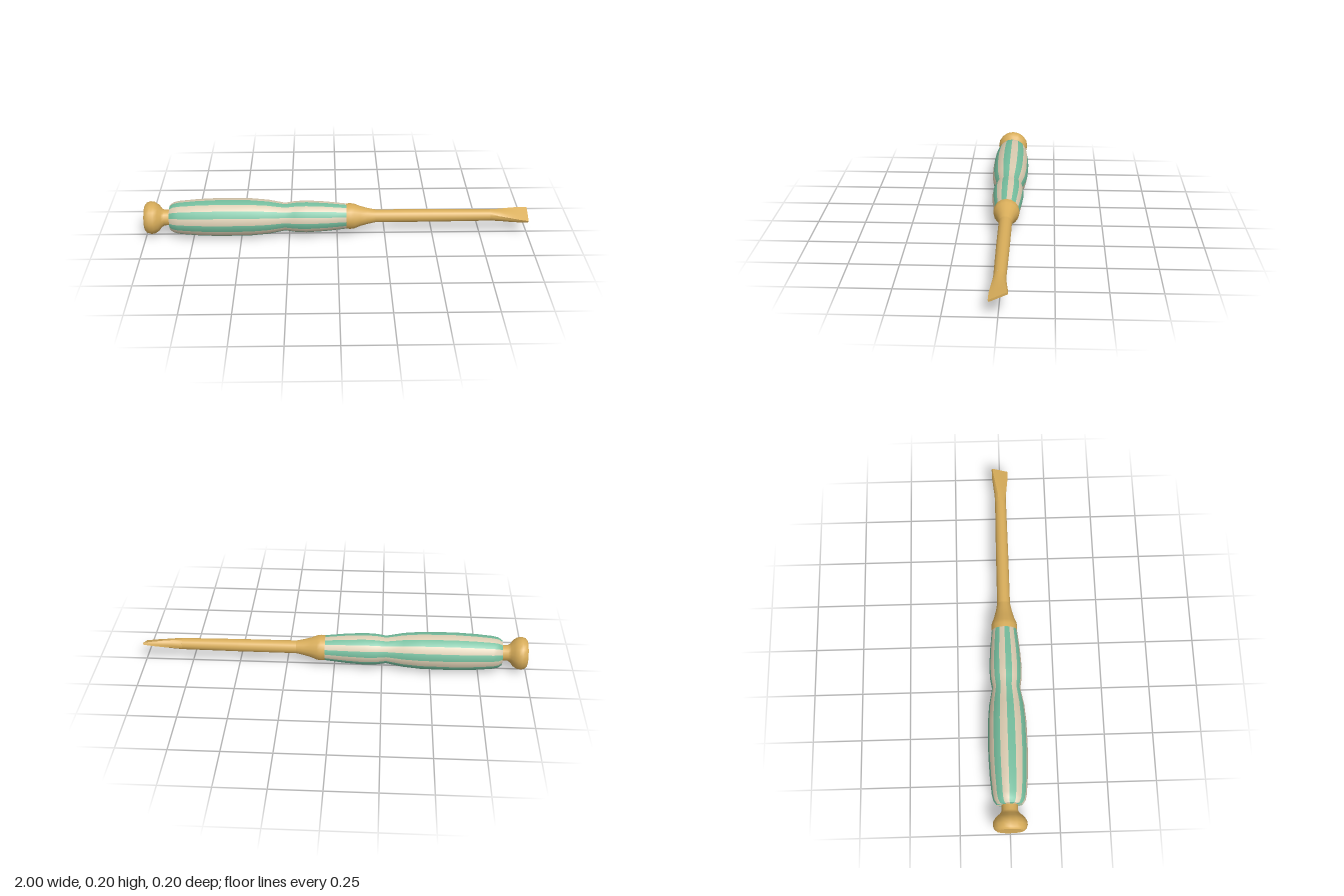
import * as THREE from 'three';
import { toCreasedNormals } from 'three/addons/utils/BufferGeometryUtils.js';

const SIDES = 16;
const AXIS_Y = 0.1;

// Turned shape along x from [x, radius] pairs
function turned(profile) {
  const points = profile.map(([x, r]) => new THREE.Vector2(r, x));
  return new THREE.LatheGeometry(points, SIDES).rotateZ(-Math.PI / 2);
}

// Round shaft end that widens and flattens into a straight cutting edge
function bladeGeometry() {
  const rows = [ // x, half width, half thickness, squareness
    [0.8, 0.03, 0.03, 0],
    [0.85, 0.032, 0.026, 0.25],
    [0.9, 0.038, 0.019, 0.6],
    [0.95, 0.043, 0.012, 0.9],
    [1, 0.046, 0.005, 1],
  ];
  const geo = new THREE.CylinderGeometry(1, 1, 1, SIDES, rows.length - 1);
  const pos = geo.attributes.position;
  for (let i = 0; i < pos.count; i++) {
    const c = pos.getX(i), s = pos.getZ(i);
    const row = Math.round((pos.getY(i) + 0.5) * (rows.length - 1));
    const [x, w, t, square] = rows[row];
    const m = Math.max(Math.abs(c), Math.abs(s)) || 1;
    const k = 1 + square * (1 / m - 1);
    pos.setXYZ(i, x, -c * k * t, s * k * w);
  }
  geo.rotateX(THREE.MathUtils.degToRad(25));
  return toCreasedNormals(geo, 0.6);
}

export function createModel() {
  const model = new THREE.Group();
  model.name = 'screwdriver';

  const brass = new THREE.MeshStandardMaterial({ color: 0xd8ad5a });
  brass.name = 'brass';
  const green = new THREE.MeshStandardMaterial({ color: 0x74bd9d });
  green.name = 'green';
  const cream = new THREE.MeshStandardMaterial({ color: 0xdacbb0 });
  cream.name = 'cream';

  const add = (name, geometry, material) => {
    const mesh = new THREE.Mesh(geometry, material);
    mesh.name = name;
    mesh.position.y = AXIS_Y;
    model.add(mesh);
    return mesh;
  };

  // Rounded end knob with its flat back and neck
  add('knob', turned([
    [-1, 0.068], [-0.99, 0.08], [-0.97, 0.086], [-0.95, 0.083],
    [-0.93, 0.07], [-0.915, 0.05], [-0.9, 0.041], [-0.86, 0.041],
  ]), brass);
  const back = new THREE.CircleGeometry(0.068, SIDES).rotateY(-Math.PI / 2).translate(-1, 0, 0);
  add('knobBack', back, brass);

  // Waisted grip, striped lengthwise in alternating colours
  const gripProfile = [
    [-0.872, 0.038], [-0.87, 0.066], [-0.85, 0.08], [-0.82, 0.087], [-0.73, 0.095],
    [-0.62, 0.1], [-0.45, 0.098], [-0.36, 0.09], [-0.27, 0.073],
    [-0.22, 0.081], [-0.16, 0.084], [-0.06, 0.078], [0.05, 0.066],
  ];
  const grip = turned(gripProfile);
  const perStripe = (gripProfile.length - 1) * 6;
  for (let i = 0; i < SIDES; i++) grip.addGroup(i * perStripe, perStripe, i % 2);
  add('grip', toCreasedNormals(grip, 0.7), [green, cream]);

  // Flared collar running into the shaft
  add('collar', turned([
    [0.045, 0.066], [0.07, 0.068], [0.09, 0.065], [0.12, 0.053],
    [0.16, 0.042], [0.2, 0.034],
  ]), brass);
  add('shaft', turned([[0.2, 0.034], [0.5, 0.033], [0.8, 0.03]]), brass);

  // Flat blade at the tip
  add('blade', bladeGeometry(), brass);

  return model;
}
